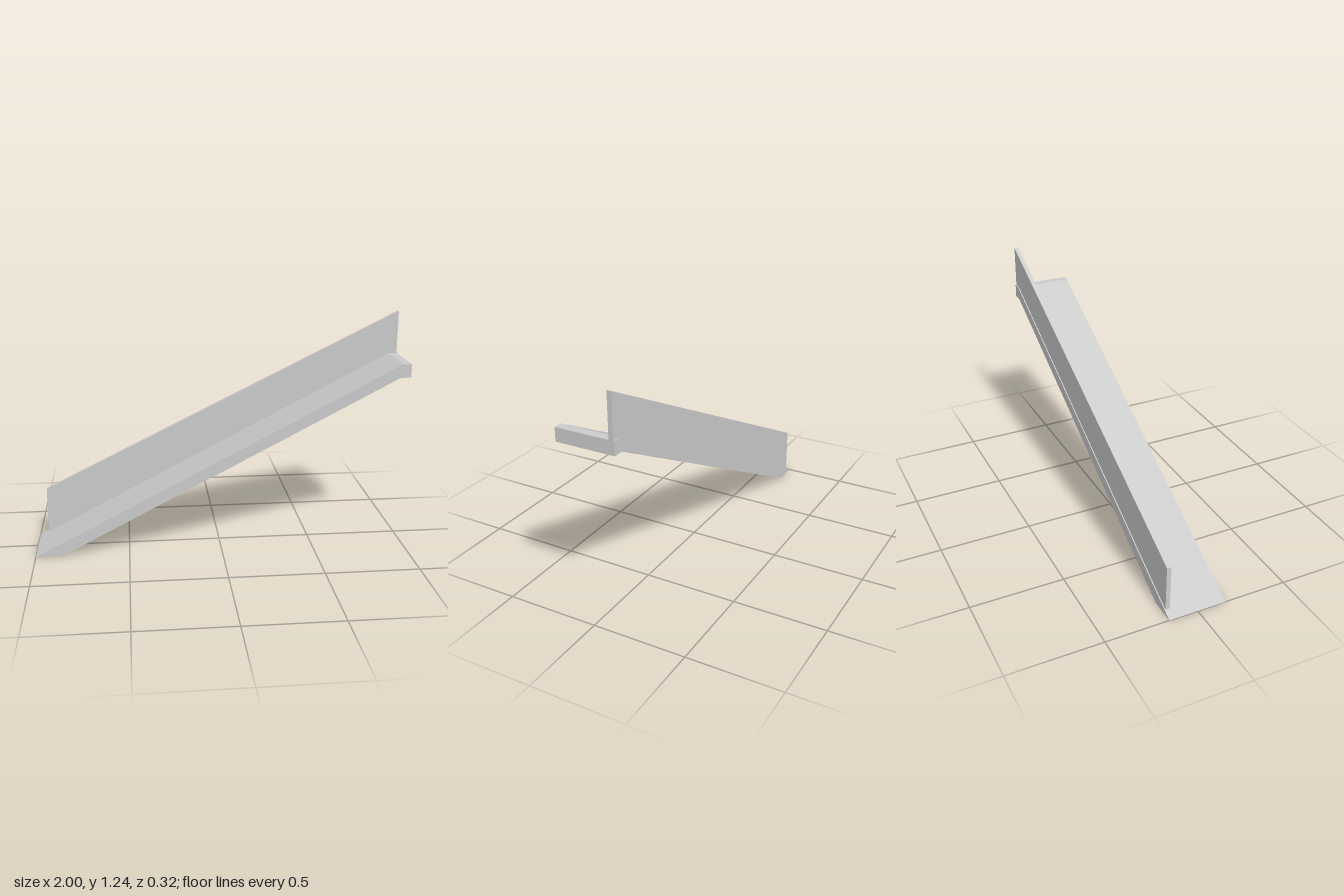
import * as THREE from 'three';

// Side profile in x/y, extruded between two depths
function slab(name, points, zBack, zFront) {
  const shape = new THREE.Shape(points.map(([x, y]) => new THREE.Vector2(x, y)));
  const geometry = new THREE.ExtrudeGeometry(shape, { depth: zFront - zBack, bevelEnabled: false });
  geometry.translate(0, 0, zBack);
  const mesh = new THREE.Mesh(geometry, new THREE.MeshStandardMaterial({ color: 0xcccccc, flatShading: true }));
  mesh.name = name;
  return mesh;
}

export function createModel() {
  const group = new THREE.Group();
  group.name = 'rampWithSideWall';

  // Sloping deck with a flat foot and a short level landing
  group.add(slab('rampDeck', [
    [-1, 0], [-0.86, 0], [0.945, 0.94], [1, 0.94], [1, 1.012], [0.955, 1.012],
  ], -0.158, 0.158));

  // Thin parapet standing on the deck, just inside its back edge
  group.add(slab('sideWall', [
    [-0.95, 0.026], [0.955, 1.012], [1, 1.012], [1, 1.243], [-0.95, 0.28],
  ], -0.153, -0.129));

  return group;
}
